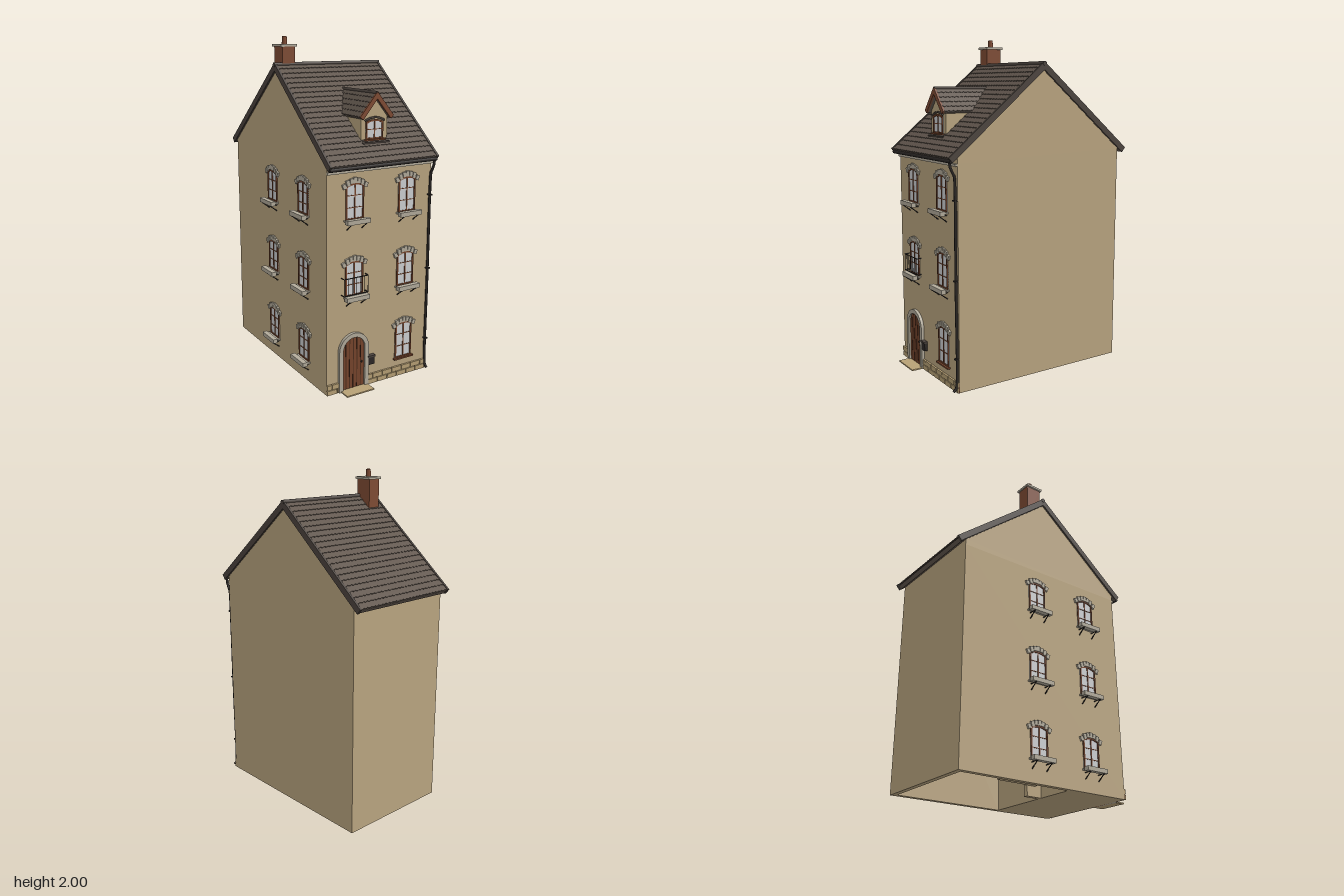
import * as THREE from 'three';

const mat = (name, color) => {
  const m = new THREE.MeshStandardMaterial({ color });
  m.name = name;
  return m;
};
const M = {
  plaster: mat('plaster', 0xbba681),
  stone: mat('pale stone', 0xb3ac9c),
  plinth: mat('plinth stone', 0xb8a176),
  slate: mat('roof tile', 0x62574e),
  trim: mat('dark roof trim', 0x4d453f),
  wood: mat('red brown wood', 0x77452c),
  groove: mat('dark wood', 0x4c2c1d),
  brick: mat('brick', 0x804c34),
  glass: mat('glass', 0xd0d2d4),
  iron: mat('iron', 0x2c2826),
};

const CX = 0.02, CZ = -0.015, WX = 0.355, WZ = 0.57; // house centre and half sizes
const FRONT = CZ + WZ, SIDE = CX - WX, EAVE = 1.3;

function add(parent, name, geo, material, x = 0, y = 0, z = 0) {
  const mesh = new THREE.Mesh(geo, material);
  mesh.name = name;
  mesh.position.set(x, y, z);
  parent.add(mesh);
  return mesh;
}
const box = (p, name, m, w, h, d, x, y, z) => add(p, name, new THREE.BoxGeometry(w, h, d), m, x, y, z);
const extrude = (shape, depth, curveSegments = 8) =>
  new THREE.ExtrudeGeometry(shape, { depth, bevelEnabled: false, curveSegments });
const polygon = pts => new THREE.Shape(pts.map(p => new THREE.Vector2(...p)));
const group = (parent, name, x = 0, y = 0, z = 0) => {
  const g = new THREE.Group();
  g.name = name;
  g.position.set(x, y, z);
  parent.add(g);
  return g;
};
function rod(p, name, a, b, r = 0.003, m = M.iron) {
  const A = new THREE.Vector3(...a), B = new THREE.Vector3(...b);
  const mesh = add(p, name, new THREE.CylinderGeometry(r, r, A.distanceTo(B), 6), m);
  mesh.position.copy(A).lerp(B, 0.5);
  mesh.quaternion.setFromUnitVectors(new THREE.Vector3(0, 1, 0), B.sub(A).normalize());
}

// One roof slope: a slab, overlapping rows of scalloped tiles, and verge strips
function slope(parent, width, length, angle, rows, scallops, thick) {
  const g = group(parent, 'roofSlope');
  g.rotation.x = angle;
  box(g, 'roofSlab', M.slate, width, thick, length, 0, -thick / 2 - 0.004, length / 2);
  const pitch = length / rows, step = width / scallops, row = new THREE.Shape();
  row.moveTo(-width / 2, -pitch * 1.2).lineTo(width / 2, -pitch * 1.2).lineTo(width / 2, -0.004);
  for (let i = 1; i <= scallops; i++) {
    const x = width / 2 - i * step;
    row.quadraticCurveTo(x + step / 2, 0.008, x, -0.004);
  }
  const geo = extrude(row, 0.006, 4).rotateX(Math.PI / 2);
  for (let i = 1; i <= rows; i++) {
    add(g, 'tileRow', geo, M.slate, 0, 0.006, i * pitch).rotation.x = -0.1;
  }
  return g;
}

// Segmental arched opening
function archShape(w, h, rise, Kind = THREE.Shape) {
  const s = new Kind();
  s.moveTo(-w / 2, 0).lineTo(w / 2, 0).lineTo(w / 2, h - rise);
  s.quadraticCurveTo(0, h + rise, -w / 2, h - rise);
  s.closePath();
  return s;
}

// Casement window facing +z, origin at the middle of its foot
function windowUnit(parent, x, y, z, w, h, { planter = true, lintel = true, rows = 3 } = {}) {
  const g = group(parent, 'window', x, y, z);
  const b = 0.009, rise = 0.012;
  add(g, 'glass', extrude(archShape(w, h, rise), 0.003), M.glass, 0, 0, 0);
  const ring = archShape(w, h, rise), hole = archShape(w - 2 * b, h - 2 * b, rise, THREE.Path);
  ring.holes.push(new THREE.Path(hole.getPoints(8).map(p => p.setY(p.y + b))));
  add(g, 'windowFrame', extrude(ring, 0.008), M.wood);
  box(g, 'mullion', M.wood, 0.007, h - b, 0.007, 0, h / 2, 0.0035);
  for (let i = 1; i < rows; i++) box(g, 'glazingBar', M.wood, w - b, 0.004, 0.006, 0, h * i / rows, 0.003);
  box(g, 'sill', planter ? M.stone : M.wood, w + 0.02, 0.009, 0.02, 0, -0.003, 0.01);
  if (lintel) for (let i = -3; i <= 3; i++) {
    const s = box(g, 'lintelStone', M.stone, 0.0215, 0.028 + (i % 2 ? 0 : 0.004), 0.012,
      i * 0.0235, h + 0.016 - i * i * 0.0033, 0.006);
    s.rotation.z = -i * 0.13;
  }
  if (planter) {
    box(g, 'planterBox', M.stone, 0.15, 0.026, 0.03, 0, -0.004, 0.04);
    for (const s of [-0.05, 0.05]) {
      rod(g, 'bracketArm', [s, -0.018, 0], [s, -0.018, 0.053]);
      rod(g, 'bracketStay', [s, -0.055, 0.002], [s, -0.018, 0.05]);
    }
  }
  return g;
}

function buildWalls(root) {
  const ring = polygon([[-WX, -WZ], [WX, -WZ], [WX, WZ], [-WX, WZ]]);
  const t = 0.03, f = 0.16;
  // the shape's y becomes -z, so the open well lies at the back
  ring.holes.push(new THREE.Path([[-WX + t, -f], [-WX + t, WZ - t], [WX - t, WZ - t], [WX - t, -f]]
    .map(p => new THREE.Vector2(...p))));
  add(root, 'walls', extrude(ring, EAVE).rotateX(-Math.PI / 2), M.plaster, CX, 0, CZ);
  box(root, 'innerPartition', M.plaster, 0.03, 0.6, 0.1, CX - 0.08, 0.3, CZ + 0.11);
  box(root, 'innerBlock', M.plaster, 0.22, 0.6, 0.26, CX - 0.21, 0.36, CZ - 0.02);
  box(root, 'innerCeiling', M.plaster, 2 * WX - t, 0.02, 2 * WZ - t, CX, 0.62, CZ);
  const gable = polygon([[-WZ, EAVE], [WZ, EAVE], [WZ, 1.335], [0, 1.803], [-WZ, 1.335]]);
  add(root, 'gable', extrude(gable, 2 * WX).rotateY(Math.PI / 2), M.plaster, CX - WX, 0, CZ);
  box(root, 'cornice', M.stone, 2 * WX, 0.014, 0.014, CX, 1.293, FRONT + 0.007);
}

function buildRoof(root) {
  const roof = group(root, 'roof', CX, 1.84, CZ), angle = Math.atan2(0.51, 0.62);
  for (const turn of [0, Math.PI]) {
    const side = group(roof, 'roofSide');
    side.rotation.y = turn;
    const g = slope(side, 0.715, 0.8, angle, 20, 26, 0.026);
    for (const s of [-1, 1]) box(g, 'verge', M.trim, 0.014, 0.036, 0.805, s * 0.358, -0.01, 0.4025);
  }
  add(roof, 'ridge', new THREE.CylinderGeometry(0.013, 0.013, 0.735, 10).rotateZ(Math.PI / 2), M.trim);

  // gutter and downpipe
  add(root, 'gutter', new THREE.CylinderGeometry(0.011, 0.011, 0.72, 8).rotateZ(Math.PI / 2),
    M.iron, CX, 1.315, 0.594);
  const pipe = new THREE.CatmullRomCurve3([[0.597, 1.31], [0.592, 1.275], [0.57, 1.235], [0.566, 1.18], [0.566, 0.6],
    [0.566, 0.06], [0.572, 0.025], [0.59, 0.01]].map(([z, y]) => new THREE.Vector3(0.364, y, z)), false, 'centripetal');
  add(root, 'downpipe', new THREE.TubeGeometry(pipe, 48, 0.008, 8), M.iron);
  for (const y of [0.2, 0.65, 1.1]) box(root, 'pipeClip', M.iron, 0.022, 0.008, 0.022, 0.364, y, 0.566);

  // chimney
  const c = group(root, 'chimney', -0.255, 0, -0.055);
  box(c, 'chimneyStack', M.brick, 0.082, 0.22, 0.102, 0, 1.835, 0);
  box(c, 'chimneyCap', M.stone, 0.104, 0.014, 0.116, 0, 1.948, 0);
  add(c, 'chimneyPot', new THREE.CylinderGeometry(0.014, 0.016, 0.05, 12), M.brick, 0, 1.975, 0);
}

function buildDormer(root) {
  const d = group(root, 'dormer', 0.023, 0, 0);
  const face = polygon([[-0.088, 1.38], [0.088, 1.38], [0.088, 1.575], [0, 1.68], [-0.088, 1.575]]);
  add(d, 'dormerWalls', extrude(face, 0.3), M.plaster, 0, 0, 0.176);
  const roof = group(d, 'dormerRoof', 0, 1.7, 0.322), a = Math.atan2(0.13, 0.108);
  for (const s of [-1, 1]) {
    const side = group(roof, 'dormerRoofSide');
    side.rotation.y = s * Math.PI / 2;
    const g = slope(side, 0.355, 0.168, a, 5, 12, 0.014);
    box(g, 'bargeBoard', M.brick, 0.012, 0.026, 0.17, -s * 0.179, -0.008, 0.085);
  }
  add(roof, 'dormerRidge', new THREE.CylinderGeometry(0.01, 0.01, 0.365, 8).rotateX(Math.PI / 2), M.trim);
  windowUnit(d, 0, 1.443, 0.476, 0.115, 0.11, { planter: false, lintel: false, rows: 2 });
  box(d, 'dormerSill', M.trim, 0.18, 0.01, 0.03, 0, 1.425, 0.486);
  const hood = new THREE.QuadraticBezierCurve3(new THREE.Vector3(-0.068, 1.545, 0.48),
    new THREE.Vector3(0, 1.583, 0.48), new THREE.Vector3(0.068, 1.545, 0.48));
  add(d, 'dormerHood', new THREE.TubeGeometry(hood, 10, 0.006, 6), M.trim);
}

function buildDoor(root) {
  const d = group(root, 'door', -0.157, 0, FRONT);
  const arch = (r, Kind) => {
    const s = new Kind();
    s.moveTo(-r, 0).lineTo(r, 0).lineTo(r, 0.25).absarc(0, 0.25, r, 0, Math.PI, false);
    s.closePath();
    return s;
  };
  add(d, 'doorLeaf', extrude(arch(0.076, THREE.Shape), 0.006, 16), M.wood);
  const frame = arch(0.1, THREE.Shape);
  frame.holes.push(arch(0.074, THREE.Path));
  add(d, 'doorSurround', extrude(frame, 0.018, 16), M.stone);
  for (let i = -2; i <= 2; i++) {
    const x = i * 0.025, h = 0.25 + Math.sqrt(0.074 ** 2 - x * x);
    box(d, 'plankGroove', M.groove, 0.005, h, 0.002, x, h / 2, 0.0065);
  }
  add(d, 'doorKnob', new THREE.SphereGeometry(0.006, 8, 6), M.iron, 0.055, 0.16, 0.012);
  box(d, 'doorstep', M.plinth, 0.185, 0.008, 0.083, 0.005, 0.004, 0.0415);
  // letter box beside the door
  box(root, 'letterBox', M.iron, 0.042, 0.05, 0.018, -0.037, 0.152, FRONT + 0.009);
  box(root, 'letterBoxLid', M.trim, 0.048, 0.01, 0.024, -0.037, 0.18, FRONT + 0.012);
}

function buildPlinth(root) {
  for (const [x0, x1] of [[SIDE, -0.258], [-0.056, CX + WX]]) {
    box(root, 'plinthBacking', M.groove, x1 - x0, 0.06, 0.004, (x0 + x1) / 2, 0.03, FRONT + 0.002);
    for (let row = 0; row < 2; row++) {
      for (let x = x0 - row * 0.035; x < x1 - 0.005; x += 0.07) {
        const a = Math.max(x, x0), b = Math.min(x + 0.066, x1);
        if (b > a) box(root, 'plinthStone', M.plinth, b - a, 0.028, 0.012, (a + b) / 2, 0.015 + row * 0.032, FRONT + 0.006);
      }
    }
  }
}

function buildWindows(root) {
  for (const y of [1.02, 0.575]) for (const x of [-0.155, 0.2]) windowUnit(root, x, y, FRONT, 0.118, 0.205);
  windowUnit(root, 0.2, 0.115, FRONT, 0.118, 0.225, { planter: false });
  // two columns on the plain side wall
  const side = group(root, 'sideWindows', SIDE, 0, 0);
  side.rotation.y = -Math.PI / 2;
  for (const y of [1.02, 0.575, 0.13]) for (const z of [-0.075, 0.305]) windowUnit(side, z, y, 0, 0.118, 0.19);
  // little railing on the middle floor
  const r = group(root, 'railing', -0.157, 0, FRONT + 0.03);
  for (const y of [0.59, 0.69]) {
    rod(r, 'rail', [-0.08, y, 0], [0.08, y, 0]);
    for (const s of [-0.08, 0.08]) rod(r, 'railReturn', [s, y, 0], [s, y, -0.03]);
  }
  for (let i = 0; i <= 6; i++) {
    const x = -0.08 + i * 0.16 / 6;
    rod(r, 'baluster', [x, 0.59, 0], [x, 0.69, 0], 0.002);
  }
}

export function createModel() {
  const root = new THREE.Group();
  root.name = 'townHouse';
  [buildWalls, buildRoof, buildDormer, buildDoor, buildPlinth, buildWindows].forEach(build => build(root));
  return root;
}
